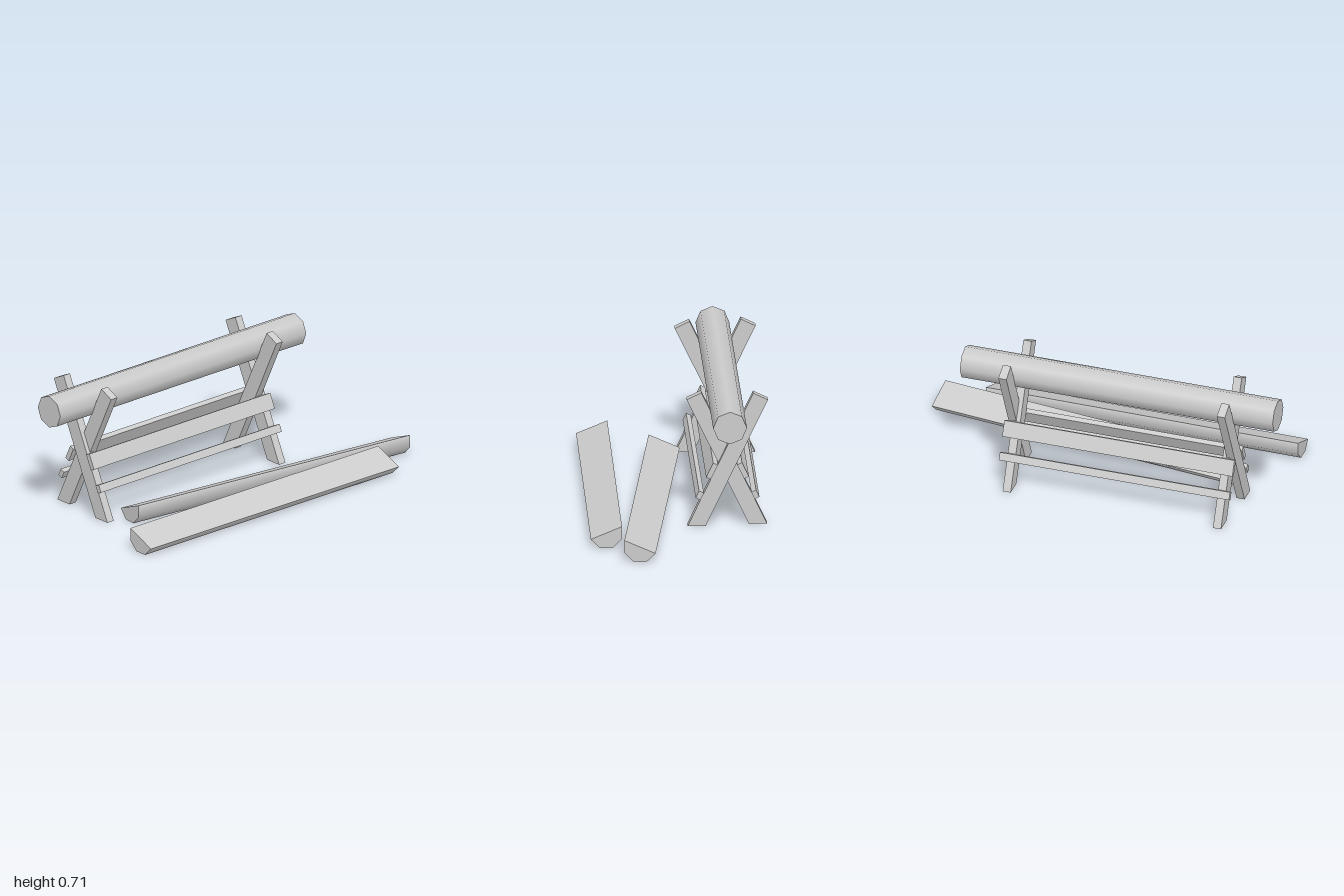
import * as THREE from 'three';
import { mergeGeometries } from 'three/addons/utils/BufferGeometryUtils.js';

const MID_Z = -0.2535; // centre line of the sawhorse
const RADIUS = 0.0865;
const LENGTH = 1.686;
const TILT = Math.PI / 8;

export function createModel() {
  const model = new THREE.Group();
  model.name = 'sawhorseWithLogs';
  const material = new THREE.MeshStandardMaterial({ color: 0xcccccc });

  const add = (name, geometry, parent = model) => {
    const mesh = new THREE.Mesh(geometry, material);
    mesh.name = name;
    parent.add(mesh);
    return mesh;
  };

  // Slanted leg: profile in (z, y), feet cut level with the ground
  const addLeg = (name, x, width, side) => {
    const profile = [[0.204, 0], [0.1115, 0], [-0.2075, 0.675], [-0.1325, 0.712]];
    const shape = new THREE.Shape(
      profile.map(([z, y]) => new THREE.Vector2(MID_Z + side * z, y)));
    const geometry = new THREE.ExtrudeGeometry(shape, { depth: width, bevelEnabled: false });
    geometry.rotateY(-Math.PI / 2).translate(x + width / 2, 0, 0);
    add(name, geometry);
  };

  // Rail lying flat on the outside of the legs
  const addRail = (name, offset, y, height, side) => {
    const rail = add(name, new THREE.BoxGeometry(1.24, height, 0.027));
    rail.position.set(-0.17, y, MID_Z + side * offset);
    rail.rotation.x = -side * Math.atan2(0.336, 0.712);
  };

  // Crossed legs, side by side at each end
  for (const [end, x] of [['right', -0.75], ['left', 0.4055]]) {
    addLeg(end + 'LegFrontFoot', x - 0.011 + (x > 0 ? 0.022 : 0), 0.043, 1);
    addLeg(end + 'LegBackFoot', x + 0.011 - (x > 0 ? 0.022 : 0), 0.043, -1);
  }

  // Wide upper and narrow lower rails on both sides
  for (const [label, side] of [['front', 1], ['back', -1]]) {
    addRail(label + 'UpperRail', 0.0795, 0.299, 0.084, side);
    addRail(label + 'LowerRail', 0.1425, 0.169, 0.041, side);
  }

  // Whole log resting in the crossed legs
  const log = new THREE.CylinderGeometry(RADIUS, RADIUS, LENGTH, 8);
  log.rotateZ(-Math.PI / 2);
  add('log', log).position.set(-0.157, 0.61, MID_Z);

  // Split logs on the ground: rounded underside, flat tilted face
  const underside = new THREE.CylinderGeometry(
    RADIUS, RADIUS, LENGTH, 4, 1, false, 0, Math.PI).rotateZ(-Math.PI / 2);
  const splitFace = new THREE.PlaneGeometry(LENGTH, RADIUS * 2).rotateX(-Math.PI / 2);
  const halfLog = mergeGeometries([underside, splitFace]);
  const addHalfLog = (name, x, z, turn, tilt) => {
    const half = add(name, halfLog);
    half.position.set(x, 0.08, z);
    half.rotation.set(tilt, turn, 0, 'YXZ');
  };
  addHalfLog('frontHalfLog', -0.085, 0.376, -0.009, TILT);
  addHalfLog('middleHalfLog', 0.152, 0.117, -0.127, -TILT);

  return model;
}
